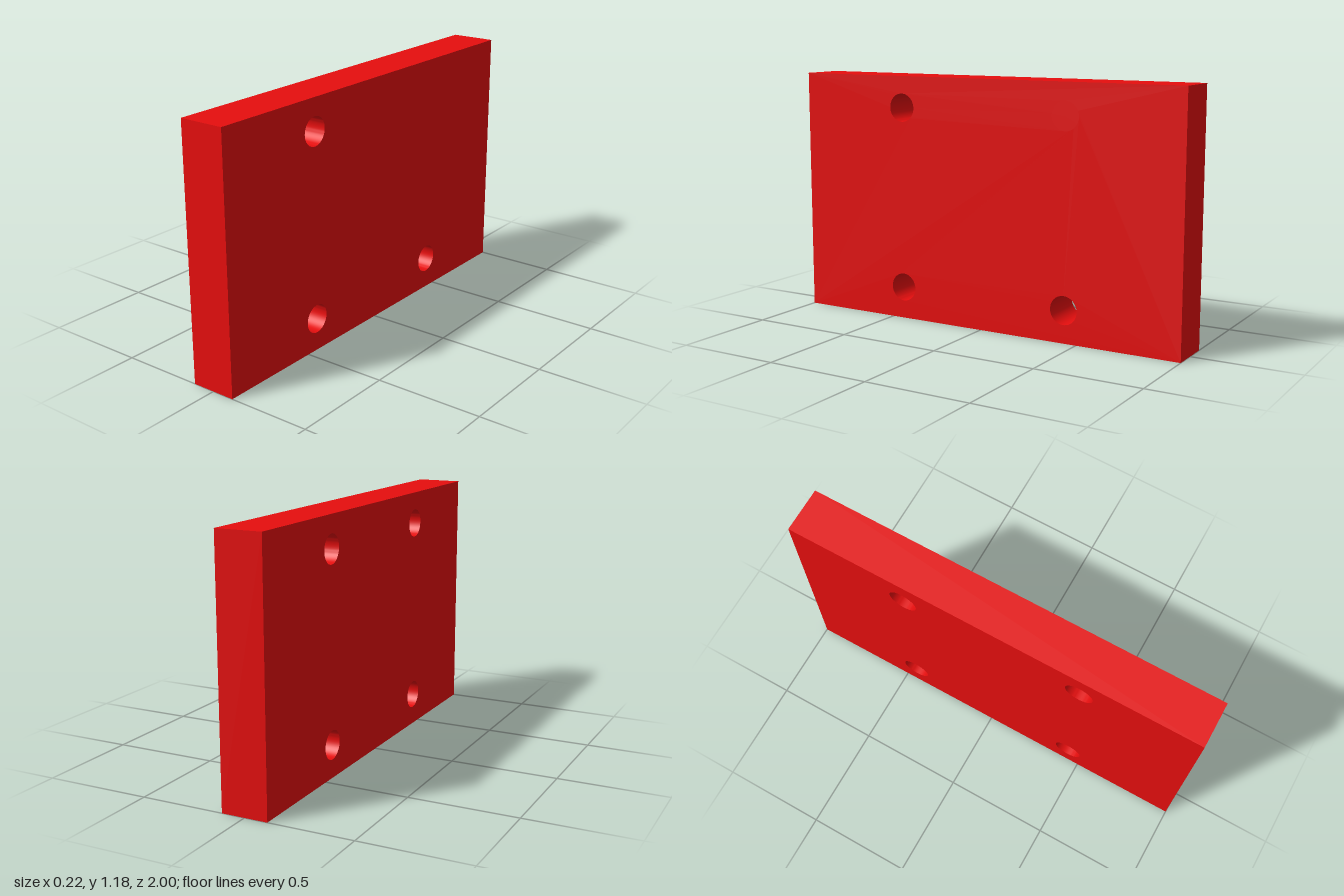
import * as THREE from 'three';
import { toCreasedNormals } from 'three/addons/utils/BufferGeometryUtils.js';

const THICKNESS = 0.216, HEIGHT = 1.176, LENGTH = 2;
const HOLE_RADIUS = 0.067, HOLE_Z = 0.436, HOLE_Y = [0.153, 1.026];
const BLIND_DEPTH = 0.16;

export function createModel() {
  const group = new THREE.Group();
  group.name = 'drilledPlate';
  const material = new THREE.MeshStandardMaterial({ color: 0xe60e0e });

  // Side profile of the plate: shape x runs towards the back (-z)
  const shape = new THREE.Shape();
  shape.moveTo(-LENGTH / 2, 0);
  shape.lineTo(LENGTH / 2, 0);
  shape.lineTo(LENGTH / 2, HEIGHT);
  shape.lineTo(-LENGTH / 2, HEIGHT);
  shape.closePath();

  // Four bolt holes in a square pattern
  for (const x of [-HOLE_Z, HOLE_Z]) {
    for (const y of HOLE_Y) {
      const hole = new THREE.Path();
      hole.absarc(x, y, HOLE_RADIUS, 0, Math.PI * 2, true);
      shape.holes.push(hole);
    }
  }

  const geometry = new THREE.ExtrudeGeometry(shape, {
    depth: THICKNESS, bevelEnabled: false, curveSegments: 24,
  });
  geometry.translate(0, 0, -THICKNESS / 2);
  geometry.rotateY(Math.PI / 2);
  const plate = new THREE.Mesh(toCreasedNormals(geometry, 0.6), material);
  plate.name = 'plate';
  group.add(plate);

  // The upper back hole is blind: it is closed flush with the left face
  const floorThickness = THICKNESS - BLIND_DEPTH;
  const plug = new THREE.CylinderGeometry(HOLE_RADIUS, HOLE_RADIUS, floorThickness, 48);
  plug.rotateZ(-Math.PI / 2);
  const blindHoleFloor = new THREE.Mesh(plug, material);
  blindHoleFloor.name = 'blindHoleFloor';
  blindHoleFloor.position.set(THICKNESS / 2 - floorThickness / 2, HOLE_Y[1], -HOLE_Z);
  group.add(blindHoleFloor);

  return group;
}
